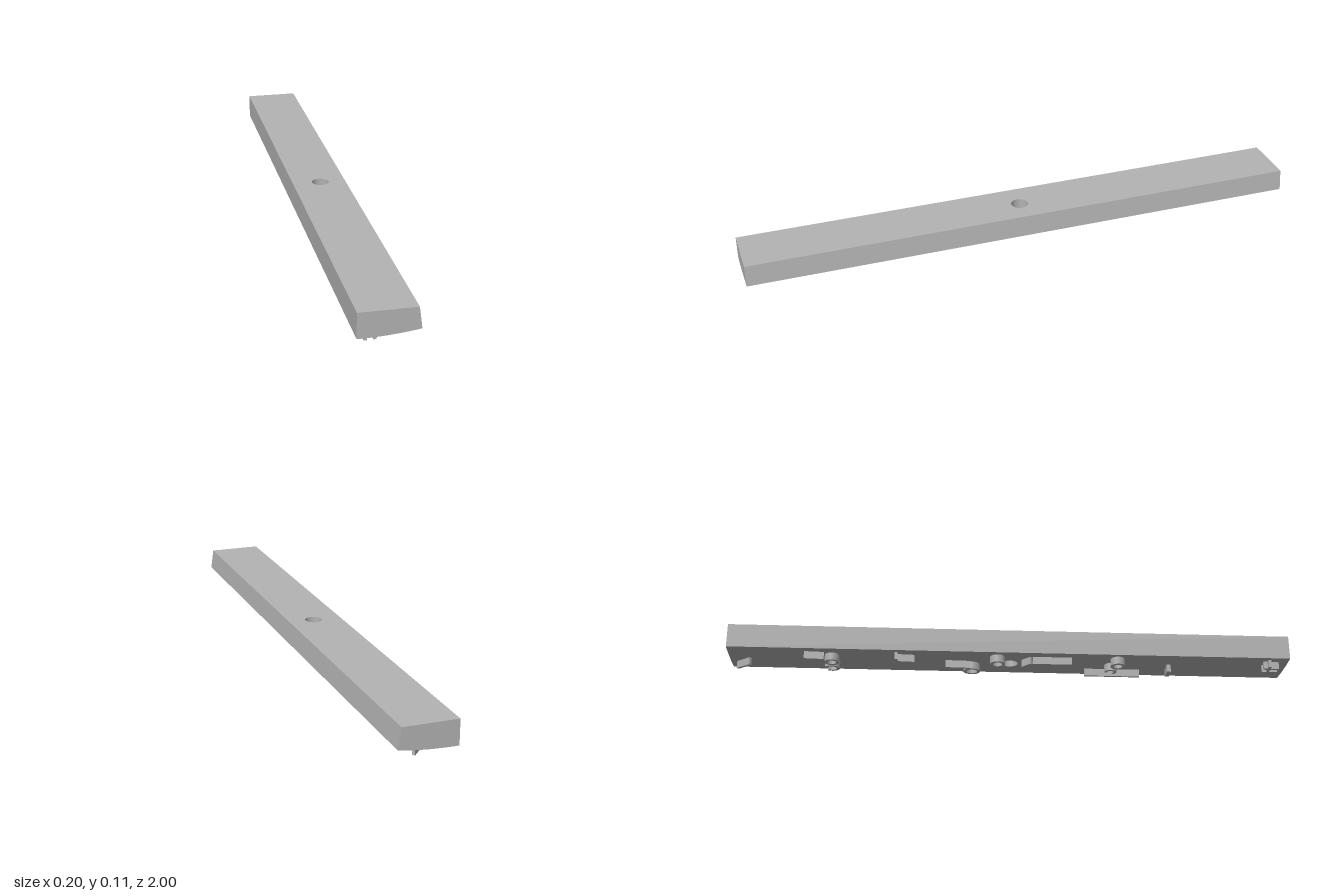
import * as THREE from 'three';

const TOP = 0.115, HOLE = 0.03;
// Height of the gently curved underside at a given x
const under = (x) => 0.031 + 0.07 * x + 0.4 * x * x;

// Sheet facing its viewer: u runs right, v runs up
function sheet(segments, map) {
  const geo = new THREE.PlaneGeometry(1, 1, segments, 1);
  const pos = geo.attributes.position;
  for (let i = 0; i < pos.count; i++) {
    pos.setXYZ(i, ...map(pos.getX(i) + 0.5, pos.getY(i) + 0.5));
  }
  geo.computeVertexNormals();
  return geo;
}

// Rectangle in plan, from x0 to x1 and z0 to z1
function rect(x0, x1, z0, z1) {
  return new THREE.Shape([[x0, z0], [x1, z0], [x1, z1], [x0, z1]].map((p) => new THREE.Vector2(...p)));
}

function addHole(shape, x, z, r) {
  shape.holes.push(new THREE.Path().absarc(x, z, r, 0, Math.PI * 2, true));
  return shape;
}

// Straight rib of a given thickness between two plan points
function bar(x0, z0, x1, z1, t = 0.01) {
  const l = Math.hypot(x1 - x0, z1 - z0);
  const nx = -(z1 - z0) / l * t / 2, nz = (x1 - x0) / l * t / 2;
  return new THREE.Shape([
    [x0 - nx, z0 - nz], [x1 - nx, z1 - nz], [x1 + nx, z1 + nz], [x0 + nx, z0 + nz],
  ].map((p) => new THREE.Vector2(...p)));
}

function ring(x, z, r, t = 0.01) {
  return addHole(new THREE.Shape().absarc(x, z, r, 0, Math.PI * 2, false), x, z, r - t);
}

// Open curved rib
function hook(x, z, r, a0, a1, t = 0.01) {
  return new THREE.Shape().absarc(x, z, r, a0, a1, false).absarc(x, z, r - t, a1, a0, true);
}

export function createModel() {
  const model = new THREE.Group();
  const grey = new THREE.MeshStandardMaterial({ color: 0xb3b3b3 });
  grey.name = 'plain grey';
  const add = (parent, name, geo) => {
    const mesh = new THREE.Mesh(geo, grey);
    mesh.name = name;
    parent.add(mesh);
  };

  // Long bar: ends, sides, top, curved underside and central bore
  const body = new THREE.Group();
  body.name = 'body';
  model.add(body);
  const endPoint = (s, v, z) => {
    const x = -0.1 + 0.2 * s;
    return v < 0.5 ? [x, under(x), z] : [-0.1 + 0.19 * s, TOP, z];
  };
  add(body, 'frontEnd', sheet(10, (u, v) => endPoint(u, v, 1)));
  add(body, 'backEnd', sheet(10, (u, v) => endPoint(1 - u, v, -1)));
  add(body, 'slopedSide', sheet(1, (u, v) => endPoint(1, v, 1 - 2 * u)));
  add(body, 'uprightSide', sheet(1, (u, v) => endPoint(0, v, 2 * u - 1)));

  const top = new THREE.ShapeGeometry(addHole(rect(-0.1, 0.09, -1, 1), 0, 0, HOLE), 20);
  add(body, 'topFace', top.rotateX(-Math.PI / 2).translate(0, TOP, 0));

  const edges = [-0.1, -0.07, -0.04, 0.04, 0.06, 0.08, 0.1];
  for (let i = 0; i + 1 < edges.length; i++) {
    const strip = rect(edges[i], edges[i + 1], -1, 1);
    if (i === 2) addHole(strip, 0, 0, HOLE);
    const geo = new THREE.ShapeGeometry(strip, 20).rotateX(Math.PI / 2);
    const pos = geo.attributes.position;
    for (let k = 0; k < pos.count; k++) pos.setY(k, under(pos.getX(k)));
    geo.computeVertexNormals();
    add(body, 'underside', geo);
  }

  add(body, 'bore', sheet(40, (u, v) => {
    const a = -u * Math.PI * 2, x = HOLE * Math.sin(a);
    return [x, v < 0.5 ? under(x) : TOP, HOLE * Math.cos(a)];
  }));

  // Small raised ribs and rings hanging below, following the underside curve
  const ribs = [
    bar(0.038, -0.975, -0.004, -0.925),
    hook(0.015, -0.636, 0.028, -0.6, 4.2),
    ring(-0.043, -0.633, 0.026),
    bar(-0.066, -0.66, -0.07, -0.73),
    bar(-0.058, -0.34, -0.062, -0.41),
    bar(-0.06, -0.405, -0.085, -0.405),
    ring(0.018, -0.135, 0.03),
    ring(-0.056, -0.045, 0.027),
    bar(-0.013, -0.14, -0.016, -0.23),
    bar(-0.035, 0.045, -0.065, 0.075),
    bar(-0.063, 0.08, -0.063, 0.22),
    bar(0.041, 0.275, 0.041, 0.475),
    hook(-0.005, 0.365, 0.022, 0.5, 5),
    ring(-0.06, 0.385, 0.026),
    bar(-0.022, 0.575, 0.03, 0.575, 0.014),
    bar(-0.035, 0.91, -0.035, 0.965),
    bar(-0.065, 0.91, -0.065, 0.965),
    bar(-0.03, 0.93, -0.085, 0.93),
  ];
  const relief = new THREE.Group();
  relief.name = 'undersideRibs';
  model.add(relief);
  for (const shape of ribs) {
    const geo = new THREE.ExtrudeGeometry(shape, { depth: 0.03, bevelEnabled: false, curveSegments: 16 });
    geo.rotateX(Math.PI / 2);
    const pos = geo.attributes.position;
    for (let k = 0; k < pos.count; k++) {
      pos.setY(k, pos.getY(k) + under(pos.getX(k)) + 0.0025);
    }
    geo.computeVertexNormals();
    add(relief, 'rib', geo);
  }
  return model;
}
